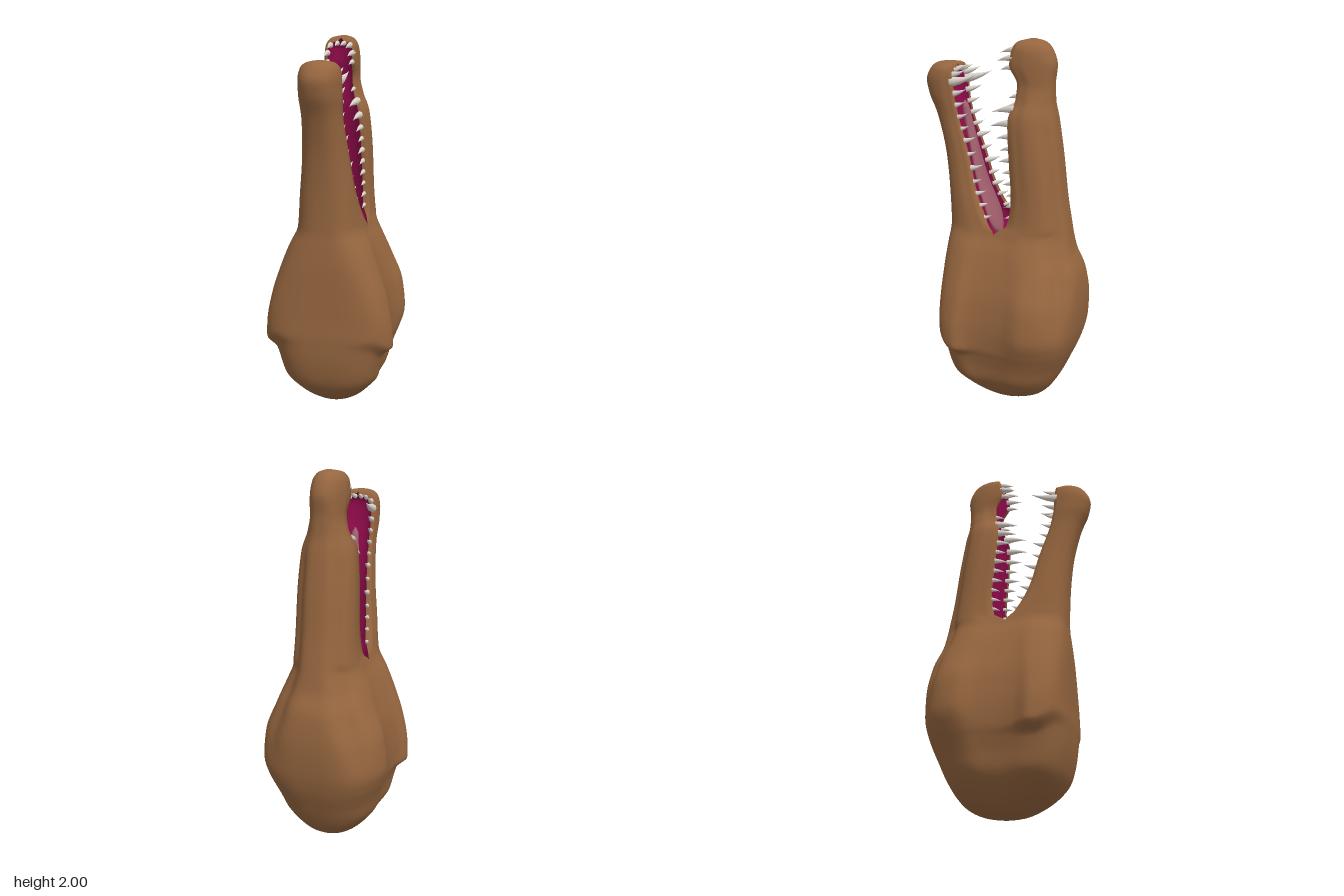
import * as THREE from 'three';
import { mergeGeometries, mergeVertices } from 'three/addons/utils/BufferGeometryUtils.js';

const skinMat = new THREE.MeshStandardMaterial({ color: 0x96663f });
const mouthMat = new THREE.MeshStandardMaterial({ color: 0x8c0a48, side: THREE.DoubleSide });
const tongueMat = new THREE.MeshStandardMaterial({ color: 0xa05f6c });
const toothMat = new THREE.MeshStandardMaterial({ color: 0xddd5cc });
const { smoothstep, lerp } = THREE.MathUtils;

// Half cross-sections: y, rim half width, widest half width, rim z, outermost z, squareness
const lowerRows = [
  [0, 0, 0, -.03, -.03, 1], [.02, .09, .09, -.03, .08, 1], [.06, .15, .15, -.02, .16, .88],
  [.12, .205, .207, -.01, .23, .76], [.2, .25, .266, 0, .28, .66], [.28, .268, .284, 0, .303, .6],
  [.34, .285, .3, 0, .31, .56], [.4, .3, .358, 0, .313, .53], [.5, .305, .352, 0, .31, .5],
  [.65, .29, .322, 0, .31, .52], [.8, .25, .272, 0, .31, .56], [.92, .207, .224, 0, .305, .62],
  [1, .172, .182, 0, .3, .66], [1.06, .16, .167, .05, .302, .7], [1.2, .135, .147, .12, .31, .72],
  [1.4, .112, .12, .175, .335, .75], [1.6, .097, .104, .24, .39, .8], [1.7, .1, .11, .26, .435, .85],
  [1.77, .1, .11, .265, .45, .85], [1.83, .092, .1, .272, .425, .85], [1.86, .06, .066, .285, .39, .9],
  [1.87, 0, 0, .33, .33, 1],
];
const upperRows = [
  [0, 0, 0, -.03, -.03, 1], [.02, .09, .09, -.03, -.15, 1], [.06, .15, .15, -.02, -.235, .88],
  [.12, .205, .207, -.01, -.29, .8], [.2, .25, .262, 0, -.335, .74], [.28, .268, .285, 0, -.37, .7],
  [.34, .285, .305, 0, -.395, .66], [.4, .3, .328, 0, -.415, .63], [.5, .305, .352, 0, -.435, .6],
  [.65, .29, .335, 0, -.445, .6], [.8, .25, .275, 0, -.43, .62], [.92, .207, .226, 0, -.385, .66],
  [1, .172, .19, 0, -.37, .68], [1.06, .16, .175, -.07, -.36, .7], [1.2, .15, .164, -.09, -.335, .7],
  [1.4, .143, .16, -.075, -.31, .7], [1.6, .125, .144, -.06, -.28, .72], [1.7, .085, .106, -.085, -.262, .75],
  [1.78, .075, .088, -.09, -.26, .75], [1.87, .082, .092, -.05, -.27, .8], [1.94, .079, .086, -.06, -.25, .85],
  [1.985, .052, .056, -.085, -.21, .9], [2, 0, 0, -.15, -.15, 1],
];

// Smooth interpolation between rows that never overshoots
function sample(rows, u) {
  const i = Math.min(Math.floor(u), rows.length - 2), f = u - i;
  const at = (k, c) => rows[THREE.MathUtils.clamp(k, 0, rows.length - 1)][c];
  const slope = (k, c) => {
    const a = at(k, c) - at(k - 1, c), b = at(k + 1, c) - at(k, c);
    return a * b > 0 ? 2 * a * b / (a + b) : 0;
  };
  return rows[0].map((_, c) => {
    const p = at(i, c), q = at(i + 1, c), g = f * f * (3 - 2 * f);
    return lerp(p, q, g) + f * (1 - f) * ((1 - f) * slope(i, c) - f * slope(i + 1, c));
  });
}

// Row whose height is y
function atHeight(rows, y) {
  let lo = 0, hi = rows.length - 1;
  for (let k = 0; k < 30; k++) {
    const m = (lo + hi) / 2;
    if (sample(rows, m)[0] < y) lo = m; else hi = m;
  }
  return sample(rows, lo);
}

function grid(lines, flip) {
  const n = lines[0].length, index = [];
  for (let i = 0; i < lines.length - 1; i++) for (let j = 0; j < n - 1; j++) {
    const a = i * n + j, b = a + 1, c = a + n, d = c + 1;
    index.push(...(flip ? [a, b, c, b, d, c] : [a, c, b, b, c, d]));
  }
  const geo = new THREE.BufferGeometry();
  geo.setAttribute('position', new THREE.Float32BufferAttribute(lines.flat(2), 3));
  geo.setIndex(index);
  return geo;
}

// Points along half a rounded section; groove dents it, rise lifts its corners
function arc(y, R, W, zr, ze, pow, groove = 0, rise = 0, n = 44) {
  return Array.from({ length: n + 1 }, (_, j) => {
    const t = Math.PI * j / n, s = j % n ? Math.sin(t) : 0, c = Math.cos(t);
    const dent = 1 - groove * Math.exp(-(((Math.abs(c) - .55) / .22) ** 2)) * smoothstep(s, 0, .4);
    const w = lerp(R, W, smoothstep(s, 0, .3)) * dent;
    return [w * Math.sign(c) * Math.abs(c) ** pow, y + rise * smoothstep(s, .35, .9),
      zr + (ze - zr) * s ** pow * dent];
  });
}

// Share of the rim width left open between the lips
const lip = (y, tip) => (1 - .2 * smoothstep(y, 1, 1.1)) * (1 - smoothstep(y, tip - .06, tip - .015));
const steps = 5;

function skinHalf(rows, upper) {
  const lines = [], tip = rows[rows.length - 1][0];
  for (let k = 0; k <= (rows.length - 1) * steps; k++) {
    const [y, R, W, zr, ze, pow] = sample(rows, k / steps);
    const groove = upper ? .085 * smoothstep(y, .4, .8) * (1 - smoothstep(y, 1.5, 1.8)) : 0;
    const rise = upper ? 0 : .06 * smoothstep(y, .15, .38) * (1 - smoothstep(y, .42, .85));
    const x = R * lip(y, tip);
    lines.push([[x, y, zr], ...arc(y, R, W, zr, ze, pow, groove, rise), [-x, y, zr]]);
  }
  return grid(lines, upper);
}

function mouthHalf(rows) {
  const lines = [], tip = rows[rows.length - 1][0];
  for (let k = 10 * steps; k <= (rows.length - 1) * steps; k++) {
    const [y, R, , zr, ze] = sample(rows, k / steps);
    const open = smoothstep(y, .82, 1), w = R * lip(y, tip) * open;
    const depth = .45 * open * (1 - smoothstep(y, tip - .06, tip - .015));
    lines.push(arc(y, w, w, zr, zr + (ze - zr) * depth, .9, 0, 0, 20));
  }
  return grid(lines, false);
}

function tongueGeometry() {
  const rows = [[.95, 0, .04], [1, .06, .05], [1.08, .083, .075], [1.25, .064, .14], [1.45, .04, .192],
    [1.58, .025, .224], [1.64, .018, .236], [1.67, 0, .24]]; // y, half width, z
  const lines = [];
  for (let k = 0; k <= 28; k++) {
    const [y, w, z] = sample(rows, k / 4);
    lines.push(Array.from({ length: 17 }, (_, j) => {
      const t = j / 16 * Math.PI * 2;
      return [w * Math.cos(t), y, z + Math.min(.022, w) * Math.sin(t) * (1 - .25 * Math.cos(t) ** 2)];
    }));
  }
  const geo = mergeVertices(grid(lines, false));
  geo.computeVertexNormals();
  return geo;
}

// Unit tooth: a cone curving as it narrows
function toothGeometry() {
  const geo = new THREE.ConeGeometry(1, 1, 8, 5).translate(0, .5, 0);
  const p = geo.attributes.position;
  for (let i = 0; i < p.count; i++) {
    const h = p.getY(i), swell = 1 + .7 * h * (1 - h);
    p.setXYZ(i, p.getX(i) * swell, h, p.getZ(i) * swell + 1.1 * h * h);
  }
  geo.computeVertexNormals();
  return geo;
}

export function createModel() {
  const group = new THREE.Group();
  const add = (name, geo, mat, parent = group) => {
    const mesh = new THREE.Mesh(geo, mat);
    mesh.name = name;
    parent.add(mesh);
    return mesh;
  };

  // Head and both jaws in one smooth skin
  const skin = mergeVertices(mergeGeometries([skinHalf(lowerRows, false), skinHalf(upperRows, true)]));
  skin.computeVertexNormals();
  add('headSkin', skin, skinMat);

  // Mouth lining and tongue
  for (const [name, rows] of [['lowerMouth', lowerRows], ['upperMouth', upperRows]]) {
    const lining = mouthHalf(rows);
    lining.computeVertexNormals();
    add(name, lining, mouthMat);
  }
  add('tongue', tongueGeometry(), tongueMat);

  // Teeth: height along the jaw, length, and optional share of the rim width
  const tooth = toothGeometry();
  const lowerTeeth = [[1.08, .04], [1.14, .05], [1.2, .06], [1.26, .05], [1.33, .075], [1.4, .05], [1.47, .07],
    [1.53, .05], [1.59, .06], [1.65, .06], [1.71, .08], [1.77, .14], [1.805, .08, .8], [1.825, .055, .5], [1.83, .05, .18]];
  const upperTeeth = [[1.1, .04], [1.16, .05], [1.22, .045], [1.28, .06], [1.34, .06], [1.4, .075], [1.46, .06],
    [1.52, .08], [1.585, .11], [1.655, .12], [1.72, .05], [1.86, .06], [1.905, .08], [1.945, .075, .7], [1.955, .055, .25]];
  for (const [name, rows, list, dir] of [['lowerTeeth', lowerRows, lowerTeeth, -1], ['upperTeeth', upperRows, upperTeeth, 1]]) {
    const set = new THREE.Group();
    set.name = name;
    group.add(set);
    for (const [y, length, share = .85] of list) for (const side of [1, -1]) {
      const [, R, , zr] = atHeight(rows, y);
      const mesh = add('tooth', tooth, toothMat, set);
      const r = .007 + length * .1;
      mesh.position.set(side * R * share, y, zr - dir * .012);
      mesh.scale.set(r, length + .012, r * 1.15);
      mesh.rotation.set(dir * Math.PI / 2, 0, dir * side * .08);
      if (dir < 0) mesh.rotation.x += .12;
    }
  }
  return group;
}
